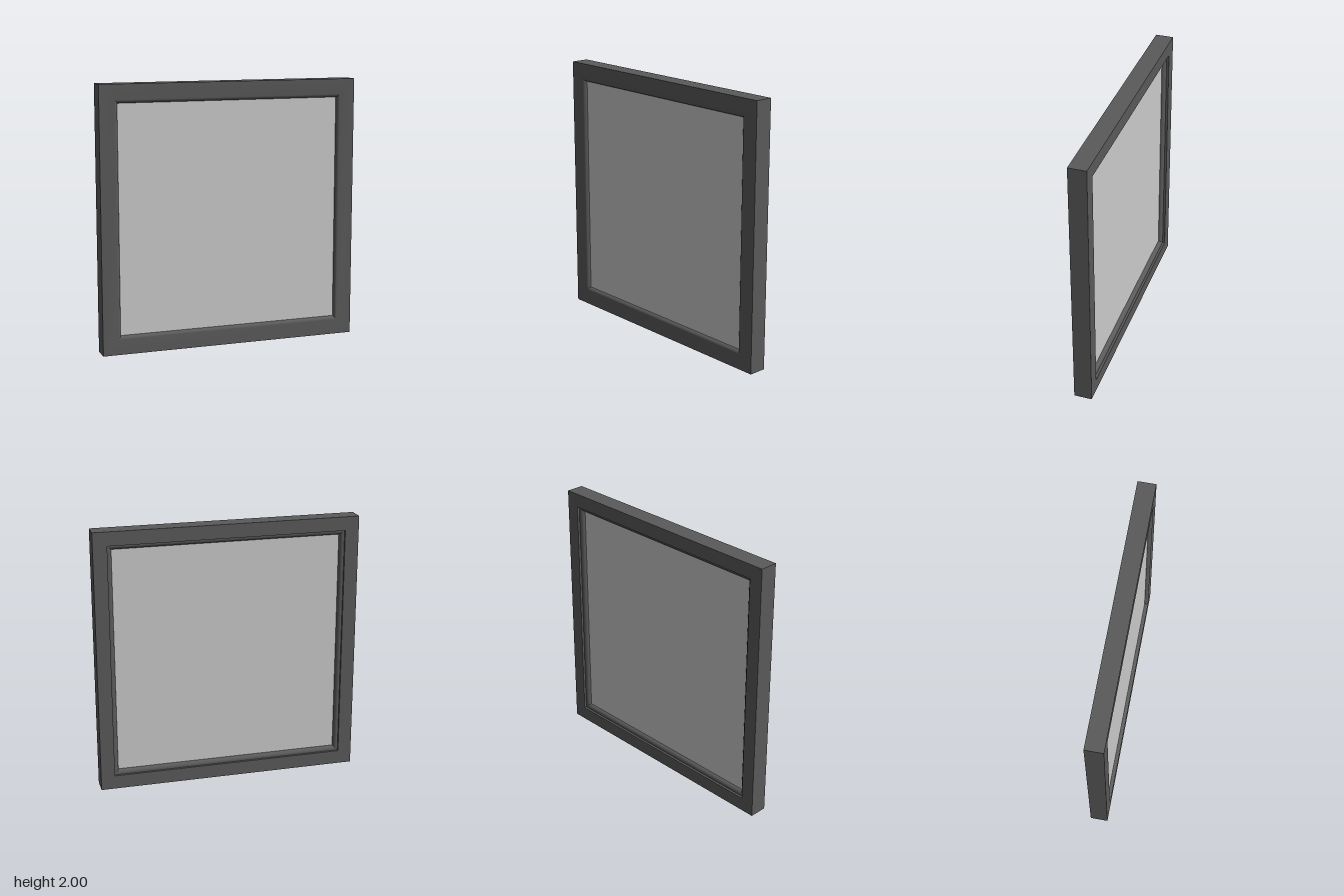
import * as THREE from 'three';
import { toCreasedNormals } from 'three/addons/utils/BufferGeometryUtils.js';

const HALF = 1;          // half the outer width
const DEPTH = 0.068;     // half the frame depth
const OPENING = 0.86;    // half the clear opening
const ROUND = 0.028;     // radius of the inner rounding
const FRONT_PANE = DEPTH - ROUND;
const BACK_PANE = -0.022;

// Cross-section of the frame: x = distance from the centre, y = depth
function frameProfile() {
  const points = [
    [HALF, -DEPTH], [HALF, DEPTH],
  ];
  const steps = 6;
  const cx = OPENING + ROUND;
  // Front rounding, down to the pane
  for (let i = 0; i <= steps; i++) {
    const a = (i / steps) * Math.PI / 2;
    points.push([cx - ROUND * Math.sin(a), FRONT_PANE + ROUND * Math.cos(a)]);
  }
  // Back rounding, up from the pane to a small step
  for (let i = 0; i <= steps; i++) {
    const a = (i / steps) * Math.PI / 2;
    points.push([cx - ROUND * Math.cos(a), BACK_PANE - ROUND * Math.sin(a)]);
  }
  points.push([0.895, BACK_PANE - ROUND], [0.895, -DEPTH], [HALF, -DEPTH]);
  return points.map(([r, z]) => new THREE.Vector2(r * Math.SQRT2, z));
}

export function createModel() {
  const model = new THREE.Group();
  model.name = 'window';

  // Four mitred bars: the profile swept round a square
  const ring = new THREE.LatheGeometry(frameProfile(), 4, Math.PI / 4);
  ring.rotateX(Math.PI / 2);
  const frame = new THREE.Mesh(
    toCreasedNormals(ring, 0.35),
    new THREE.MeshStandardMaterial({ color: 0x5a5a5a })
  );
  frame.name = 'frame';
  frame.position.y = HALF;

  // Glazing unit filling the opening
  const pane = new THREE.Mesh(
    new THREE.BoxGeometry(2 * OPENING, 2 * OPENING, FRONT_PANE - BACK_PANE),
    new THREE.MeshStandardMaterial({ color: 0xcccccc })
  );
  pane.name = 'pane';
  pane.position.set(0, HALF, (FRONT_PANE + BACK_PANE) / 2);

  model.add(frame, pane);
  return model;
}
